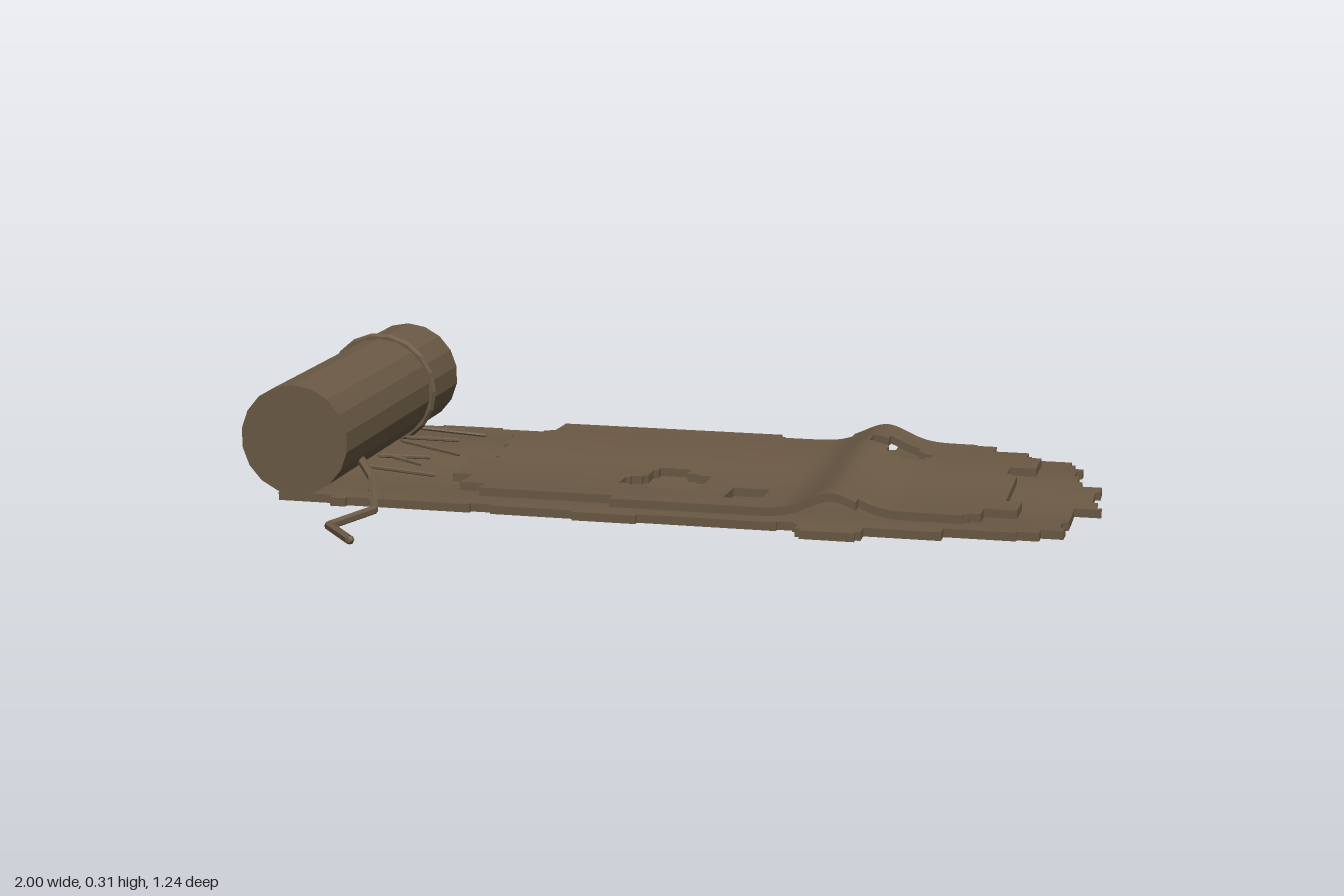
import * as THREE from 'three';

const cloth = new THREE.MeshStandardMaterial({ color: 0x6b5a45, flatShading: true, side: THREE.DoubleSide });
cloth.name = 'worn brown cloth';

// Ragged outlines as x, z pairs
const LOWER = [[-.9, -.57], [-.74, -.585], [-.4, -.575], [0, -.58], [.2, -.585], [.44, -.575], [.44, -.61], [.52, -.61],
  [.53, -.625], [.6, -.625], [.6, -.585], [.73, -.575], [.73, -.53], [.89, -.54], [.9, -.44], [.93, -.44], [.91, -.36],
  [.94, -.22], [.99, -.23], [.97, -.14], [1, -.06], [.94, -.06], [.94, .07], [.92, .08], [.94, .2], [.88, .2],
  [.89, .24], [.68, .255], [.68, .29], [.5, .285], [.5, .33], [.36, .34], [.34, .28], [0, .29], [-.08, .3],
  [-.4, .28], [-.76, .295], [-.76, .28], [-.9, .28]];
const UPPER = [[-.42, -.54], [.15, -.535], [.16, -.5], [.34, -.495], [.34, -.54], [.7, -.53], [.7, -.46], [.79, -.46],
  [.79, -.41], [.82, -.4], [.82, -.28], [.76, -.27], [.76, -.22], [.79, -.2], [.79, .02], [.82, .03], [.82, .12],
  [.75, .13], [.75, .18], [.7, .215], [.48, .215], [.48, .25], [-.1, .25], [-.1, .215], [-.42, .215], [-.42, .16],
  [-.49, .16], [-.48, .07], [-.54, .06], [-.54, -.1], [-.48, -.11], [-.5, -.3], [-.51, -.37], [-.47, -.38], [-.43, -.44]];
const TEARS = [
  [[-.07, -.07], [-.06, -.1], [.01, -.1], [.02, -.06], [.08, -.05], [.08, .06], [.04, .1], [-.04, .1], [-.13, .05], [-.13, 0], [-.08, -.02]],
  [[.45, -.41], [.53, -.42], [.53, -.37], [.57, -.36], [.55, -.3], [.5, -.26], [.46, -.27], [.46, -.3], [.41, -.31], [.41, -.37], [.45, -.37]],
  [[.15, .055], [.235, .05], [.235, .17], [.15, .16]],
];
const UNDER_TEARS = [[[.62, -.47], [.74, -.47], [.74, -.35], [.62, -.35]]];

function inside(poly, x, z) {
  let hit = false;
  poly.forEach(([ax, az], i) => {
    const [bx, bz] = poly[(i + 1) % poly.length];
    if ((az > z) !== (bz > z) && x < ax + (z - az) / (bz - az) * (bx - ax)) hit = !hit;
  });
  return hit;
}

// Gentle ripple running across the width
const ripple = (z) => 0.009 * (1 - Math.cos(z * 11));

// Draped sheet: small cells inside the outline, with walls wherever a neighbour is missing
function sheet(name, outline, holes, floor, thick) {
  const step = 0.0125, nx = 160, nz = 104, x0 = -1, z0 = -0.65;
  const filled = (i, j) => {
    const x = x0 + (i + 0.5) * step, z = z0 + (j + 0.5) * step;
    return inside(outline, x, z) && !holes.some((h) => inside(h, x, z));
  };
  const cells = Array.from({ length: nx }, (_, i) => Array.from({ length: nz }, (_, j) => filled(i, j)));
  const pos = [];
  const point = (i, j, top) => {
    const x = x0 + i * step, z = z0 + j * step;
    return [x, floor(x, z) + (top ? thick : 0), z];
  };
  const quad = (a, b, c, d) => pos.push(...a, ...b, ...c, ...a, ...c, ...d);
  const wall = (i, j, k, l) => quad(point(i, j, 0), point(k, l, 0), point(k, l, 1), point(i, j, 1));
  for (let i = 0; i < nx; i++) for (let j = 0; j < nz; j++) {
    if (!cells[i][j]) continue;
    quad(point(i, j, 1), point(i, j + 1, 1), point(i + 1, j + 1, 1), point(i + 1, j, 1));
    quad(point(i, j, 0), point(i + 1, j, 0), point(i + 1, j + 1, 0), point(i, j + 1, 0));
    if (!cells[i - 1]?.[j]) wall(i, j, i, j + 1);
    if (!cells[i + 1]?.[j]) wall(i + 1, j + 1, i + 1, j);
    if (!cells[i][j - 1]) wall(i + 1, j, i, j);
    if (!cells[i][j + 1]) wall(i, j + 1, i + 1, j + 1);
  }
  const geo = new THREE.BufferGeometry();
  geo.setAttribute('position', new THREE.Float32BufferAttribute(pos, 3));
  geo.computeVertexNormals();
  return part(name, geo);
}

function part(name, geo) {
  const mesh = new THREE.Mesh(geo, cloth);
  mesh.name = name;
  return mesh;
}

// Cord with straight segments between its points
function cord(name, points, radius) {
  const path = new THREE.CurvePath();
  const v = points.map((p) => new THREE.Vector3(...p));
  for (let i = 1; i < v.length; i++) path.add(new THREE.LineCurve3(v[i - 1], v[i]));
  const group = new THREE.Group();
  group.name = name;
  path.curves.forEach((c) => group.add(part(name + 'Segment', new THREE.TubeGeometry(c, 1, radius, 6))));
  v.forEach((p) => {
    const knot = part(name + 'Joint', new THREE.IcosahedronGeometry(radius, 0));
    knot.position.copy(p);
    group.add(knot);
  });
  return group;
}

// Rolled end lying along z
function roll() {
  const group = new THREE.Group();
  group.name = 'rolledEnd';
  group.position.set(-0.855, 0.166, 0);

  const body = part('rollBody', new THREE.CylinderGeometry(0.132, 0.132, 0.83, 18));
  body.rotation.x = Math.PI / 2;
  body.position.z = -0.135;
  group.add(body);

  // Wound layers showing at the back end
  const turns = 2.6, n = 50, outer = [], inner = [];
  for (let i = 0; i <= n; i++) {
    const a = (i / n) * turns * Math.PI * 2, r = 0.02 + 0.1 * i / n;
    outer.push(new THREE.Vector2(Math.cos(a) * r, Math.sin(a) * r));
    inner.push(new THREE.Vector2(Math.cos(a) * (r - 0.018), Math.sin(a) * (r - 0.018)));
  }
  const spiral = part('rollSpiral', new THREE.ExtrudeGeometry(
    new THREE.Shape([...outer, ...inner.reverse()]), { depth: 0.03, bevelEnabled: false }));
  spiral.position.z = -0.567;
  group.add(spiral);

  // Tie around the roll
  const tie = part('tieBand', new THREE.TorusGeometry(0.133, 0.012, 6, 18));
  tie.position.z = -0.335;
  group.add(tie);
  return group;
}

export function createModel() {
  const model = new THREE.Group();
  model.name = 'tatteredBedroll';

  model.add(sheet('lowerSheet', LOWER, UNDER_TEARS, (x, z) => ripple(z), 0.02));
  // Upper layer with a raised fold
  model.add(sheet('upperSheet', UPPER, TEARS,
    (x, z) => 0.033 + 0.5 * ripple(z) + 0.042 * Math.exp(-(((x - 0.42) / 0.075) ** 2)), 0.02));
  model.add(roll());

  // Loose tie end trailing on the ground
  model.add(cord('looseTie', [[-.75, .09, .12], [-.70, .06, .18], [-.64, .025, .34], [-.69, .025, .5], [-.6, .025, .61]], 0.011));

  // Frayed threads beside the roll
  const threads = [[-.36, -.59, -.36], [-.36, -.66, -.4], [-.21, -.59, -.14], [-.25, -.64, -.29],
    [-.04, -.65, -.09], [-.06, -.65, -.02], [.07, -.58, .085]];
  threads.forEach(([z, ex, ez]) => model.add(cord('frayedThread', [[-.76, .062, z], [ex, .052, ez]], 0.005)));
  return model;
}
